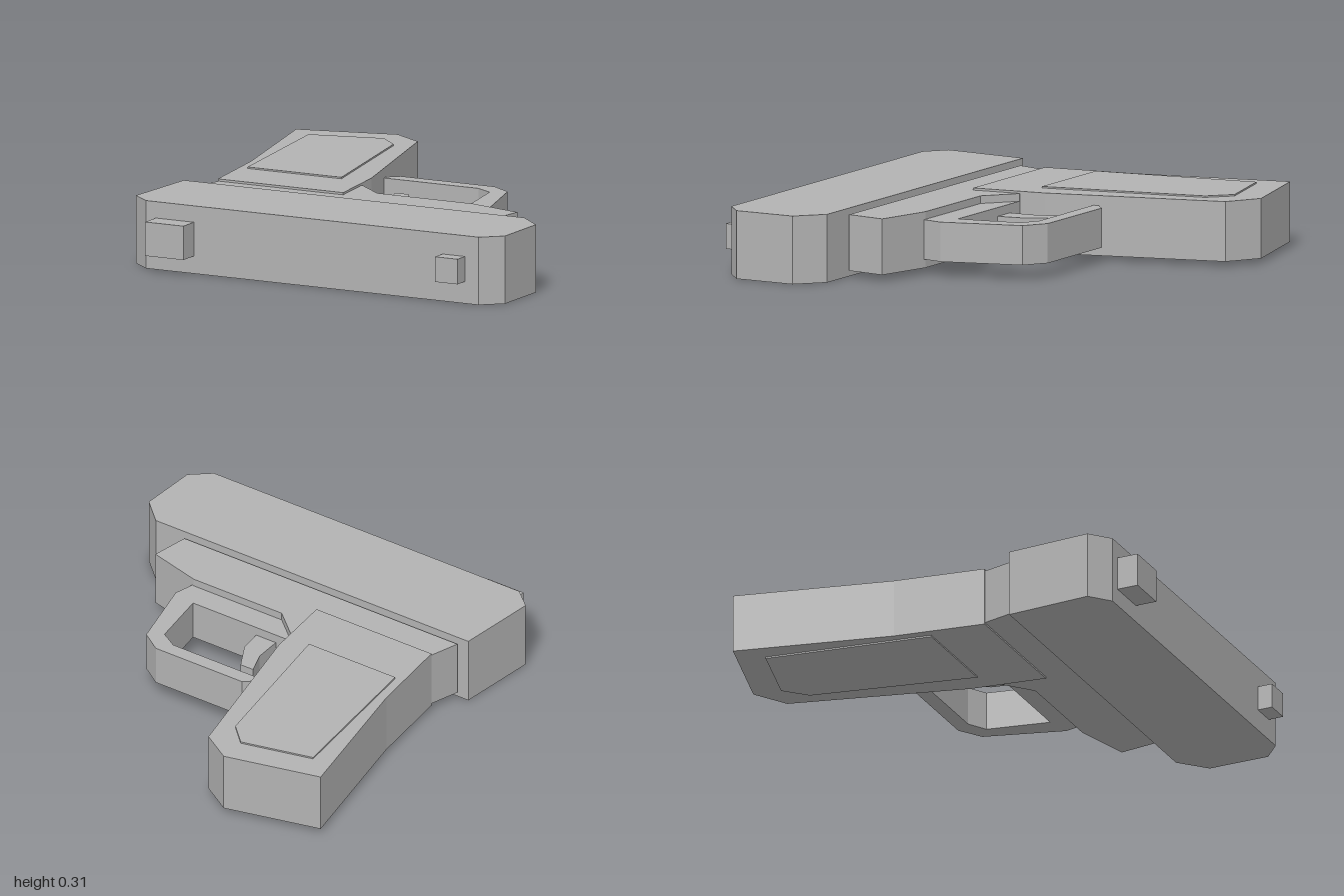
import * as THREE from 'three';

export function createModel() {
  const model = new THREE.Group();
  const grey = new THREE.MeshStandardMaterial({ color: 0xb2b2b2 });
  grey.name = 'grey';

  // Upright prism from an [x, z] outline between two heights
  const slab = (name, y0, y1, outline) => {
    const shape = new THREE.Shape(outline.map(([x, z]) => new THREE.Vector2(x, -z)));
    const geometry = new THREE.ExtrudeGeometry(shape, { depth: y1 - y0, bevelEnabled: false });
    geometry.rotateX(-Math.PI / 2).translate(0, y0, 0);
    const mesh = new THREE.Mesh(geometry, grey);
    mesh.name = name;
    model.add(mesh);
  };

  const block = (name, x0, x1, y0, y1, z0, z1) =>
    slab(name, y0, y1, [[x0, z0], [x1, z0], [x1, z1], [x0, z1]]);

  // Upper body with chamfered ends
  slab('slide', 0, 0.31, [
    [-0.86, 0.42], [0.88, 0.42], [1, 0.53], [1, 0.82],
    [0.91, 0.9], [-0.79, 0.9], [-0.885, 0.82],
  ]);

  // Sights standing on the slide
  block('rearSight', -0.74, -0.545, 0.08, 0.235, 0.89, 1);
  block('frontSight', 0.725, 0.84, 0.1, 0.215, 0.89, 0.97);

  // Frame, tapering towards the muzzle and sloping into the grip
  slab('frame', 0.03, 0.285, [
    [-0.81, 0.405], [0.71, 0.405], [0.735, 0.22], [0.47, 0.15],
    [-0.02, 0.15], [-0.16, 0.03], [-0.3, 0.03], [-0.3, 0.2], [-0.77, 0.25],
  ]);

  // Angled grip with a thin raised panel on both sides
  slab('grip', 0.022, 0.295, [
    [-0.775, 0.257], [-0.135, 0.257], [-0.18, -0.09], [-0.39, -0.905],
    [-0.545, -1], [-1, -0.885], [-0.835, -0.165],
  ]);
  const panel = [[-0.77, -0.01], [-0.29, -0.01], [-0.44, -0.77], [-0.54, -0.865], [-0.88, -0.78]];
  slab('gripPanelTop', 0.293, 0.302, panel);
  slab('gripPanelBottom', 0.015, 0.024, panel);

  // Bent guard loop from the frame round to the grip
  slab('triggerGuard', 0.07, 0.25, [
    [-0.28, -0.31], [0.245, -0.31], [0.33, -0.26], [0.385, 0.03],
    [-0.2, 0.03], [-0.2, 0.16], [0.478, 0.16], [0.5, 0.055],
    [0.395, -0.31], [0.29, -0.38], [-0.19, -0.38], [-0.245, -0.33],
  ]);

  // Curved trigger inside the guard
  slab('trigger', 0.11, 0.21, [
    [-0.13, -0.215], [-0.06, -0.215], [0.015, -0.085],
    [0.035, 0.04], [-0.075, 0.04], [-0.085, -0.105],
  ]);

  return model;
}
